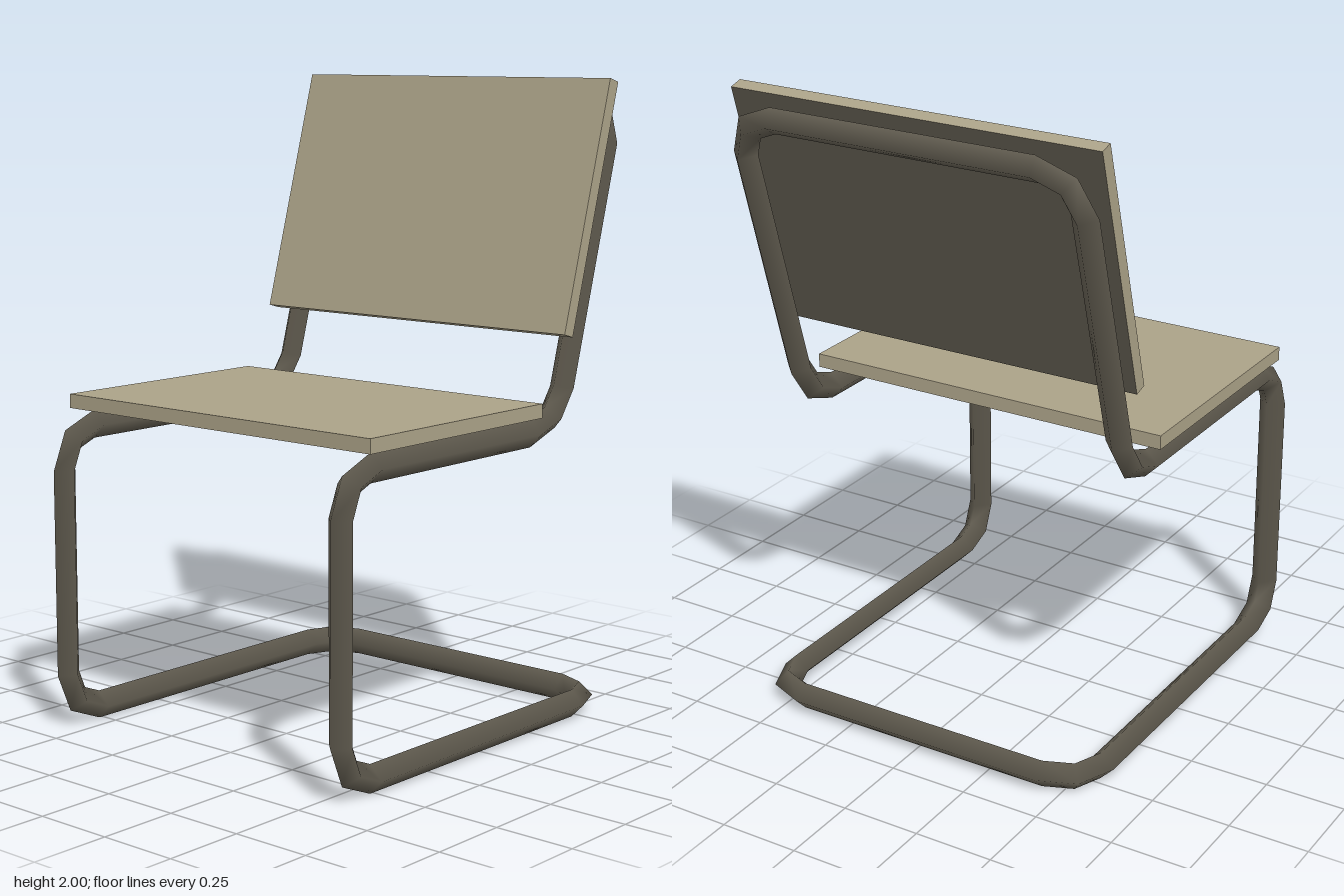
import * as THREE from 'three';

// Polyline whose corners are cut into short two-segment bends
class BentPath extends THREE.Curve {
  constructor(corners, cut) {
    super();
    this.points = [];
    this.tangents = [];
    const add = (p, t) => { this.points.push(p); this.tangents.push(t); };
    const dir = (a, b) => b.clone().sub(a).normalize();
    const last = corners.length - 1;
    corners.forEach((p, i) => {
      if (i === 0) return add(p, dir(p, corners[1]));
      if (i === last) return add(p, dir(corners[i - 1], p));
      const d1 = dir(corners[i - 1], p), d2 = dir(p, corners[i + 1]);
      const a = p.clone().addScaledVector(d1, -cut);
      const b = p.clone().addScaledVector(d2, cut);
      const mid = a.clone().add(b).multiplyScalar(0.29).addScaledVector(p, 0.42);
      add(a, d1);
      add(mid, d1.clone().add(d2).normalize());
      add(b, d2);
    });
    this.segments = this.points.length - 1;
  }
  getPointAt(u) { return this.points[Math.round(u * this.segments)].clone(); }
  getPoint(u) { return this.getPointAt(u); }
  getTangentAt(u) { return this.tangents[Math.round(u * this.segments)].clone(); }
}

export function createModel() {
  const group = new THREE.Group();
  group.name = 'cantileverChair';

  const tan = new THREE.MeshStandardMaterial({ color: 0xaba288 });
  tan.name = 'tan panel';
  const dark = new THREE.MeshStandardMaterial({ color: 0x5f5a4e });
  dark.name = 'dark frame';

  // Continuous tube frame: side profile as [y, z], mirrored to the other side
  const halfWidth = 0.56;
  const profile = [[0.044, -0.602], [0.044, 0.64], [0.942, 0.64], [0.942, -0.359], [1.923, -0.639]];
  const side = (x) => profile.map(([y, z]) => new THREE.Vector3(x, y, z));
  const [y0, z0] = profile[0];
  const corners = [
    new THREE.Vector3(0, y0, z0),
    ...side(halfWidth),
    ...side(-halfWidth).reverse(),
    new THREE.Vector3(0, y0, z0),
  ];
  const path = new BentPath(corners, 0.127);
  const frame = new THREE.Mesh(new THREE.TubeGeometry(path, path.segments, 0.044, 4, false), dark);
  frame.name = 'tubeFrame';
  group.add(frame);

  // Boards; face order is +x, -x, +y, -y, +z, -z
  const board = (name, h, d, y, z, materials) => {
    const mesh = new THREE.Mesh(new THREE.BoxGeometry(1.213, h, d), materials);
    mesh.name = name;
    mesh.position.set(0, y, z);
    group.add(mesh);
    return mesh;
  };

  // Seat with dark underside
  board('seat', 0.044, 0.8, 1.015, 0.17, [tan, tan, tan, dark, tan, tan]);

  // Reclined backrest with dark rear face
  const back = board('backrest', 0.796, 0.044, 1.611, -0.469, [tan, tan, tan, tan, tan, dark]);
  back.rotation.x = -0.278;

  return group;
}
